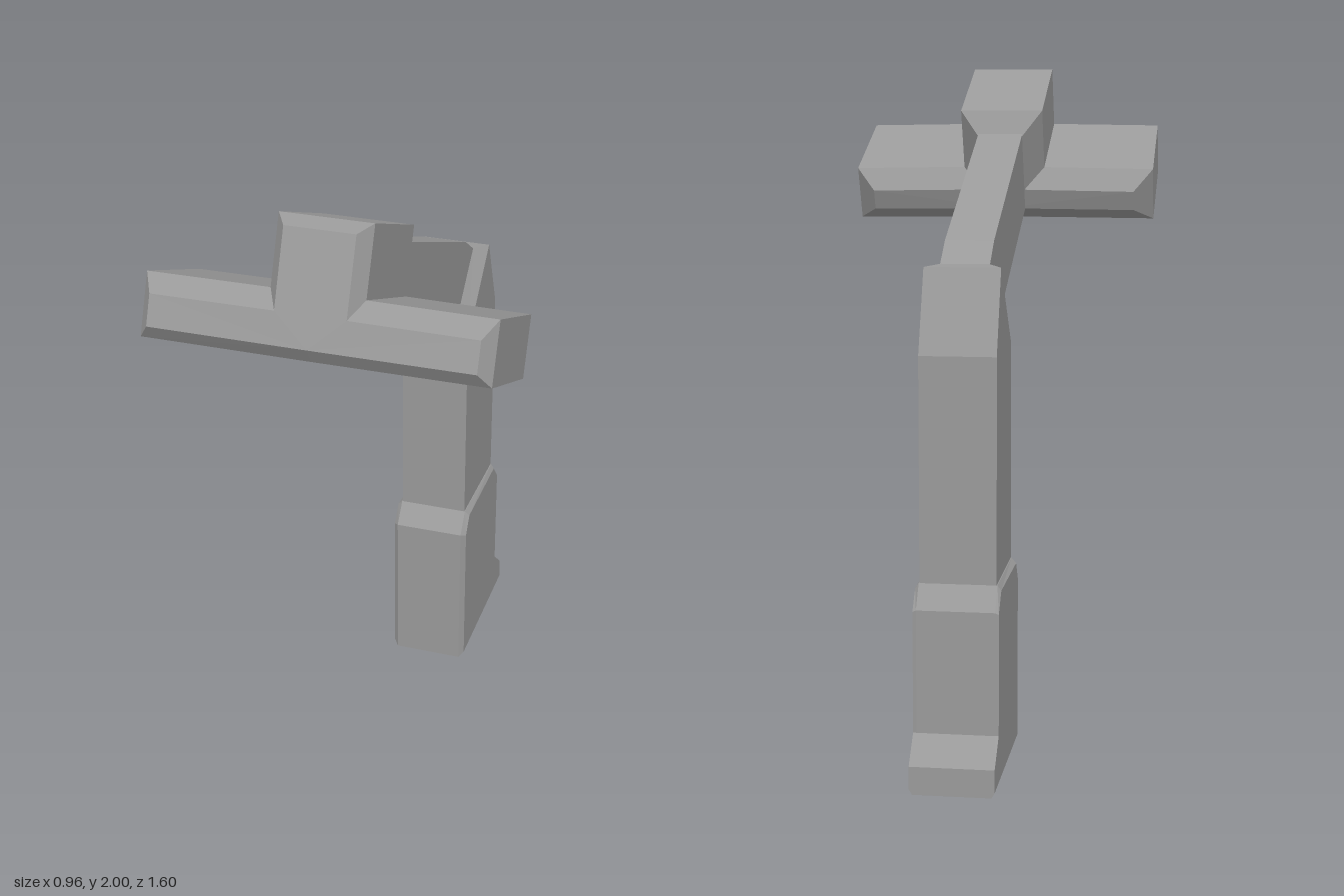
import * as THREE from 'three';

const material = new THREE.MeshStandardMaterial({ color: 0x999999, flatShading: true });

// Skins a stack of matching counter-clockwise rings of [a, b, c] points and caps both ends.
function loft(name, rings) {
  const pos = [];
  const tri = (...pts) => pts.forEach((p) => pos.push(...p));
  const n = rings[0].length;
  for (let k = 0; k < rings.length - 1; k++) {
    const lo = rings[k], hi = rings[k + 1];
    for (let i = 0; i < n; i++) {
      const j = (i + 1) % n;
      tri(lo[i], lo[j], hi[j]);
      tri(lo[i], hi[j], hi[i]);
    }
  }
  const first = rings[0], last = rings[rings.length - 1];
  const cap = (ring) => THREE.ShapeUtils.triangulateShape(ring.map(([a, b]) => new THREE.Vector2(a, b)), []);
  cap(first).forEach(([a, b, c]) => tri(first[c], first[b], first[a]));
  cap(last).forEach(([a, b, c]) => tri(last[a], last[b], last[c]));
  const geometry = new THREE.BufferGeometry();
  geometry.setAttribute('position', new THREE.Float32BufferAttribute(pos, 3));
  geometry.computeVertexNormals();
  const mesh = new THREE.Mesh(geometry, material);
  mesh.name = name;
  return mesh;
}

// Mirrored solid from side profiles of [z, y, halfWidth], listed from the middle outwards.
function sideSolid(name, ...profiles) {
  const left = profiles.slice().reverse().map((p) => p.map(([z, y, w]) => [z, y, -w]));
  const mesh = loft(name, [...left, ...profiles]);
  mesh.rotation.y = -Math.PI / 2;
  return mesh;
}

const withWidth = (w, pts) => pts.map(([z, y]) => [z, y, w]);

// T-shaped section at distance u along the arm, shrunk by an inset, with its own
// inset for the wing tops; the wings sweep back slightly.
function headRing(u, inset, wingInset) {
  const end = 0.48 - inset, stem = 0.13 - inset;
  const bottom = 1.232 + inset, top = 1.603 - inset;
  const half = [
    [end, bottom, u - 0.008],
    [end, 1.406 - wingInset, u - 0.008],
    [stem, 1.408 - wingInset, u],
    [stem, top, u],
  ];
  const mirrored = half.map(([x, v, c]) => [-x, v, c]).reverse();
  return [[0, bottom, u], ...half, ...mirrored];
}

export function createModel() {
  const group = new THREE.Group();
  group.name = 'bentArmStand';

  // Foot block with bevelled, slightly tapering sides and a small heel at the back
  const baseSide = [[-0.8, 0.015], [-0.305, 0.015], [-0.305, 0.495], [-0.345, 0.55],
    [-0.667, 0.55], [-0.718, 0.495], [-0.718, 0.15], [-0.8, 0.08]];
  group.add(sideSolid('base',
    withWidth(0.11, [[-0.8, 0], [-0.29, 0], [-0.29, 0.5], [-0.34, 0.565],
      [-0.67, 0.565], [-0.72, 0.5], [-0.72, 0.15], [-0.8, 0.08]]),
    baseSide.map(([z, y]) => [z, y, 0.125 + 0.012 * (z + 0.305)])));

  // Upright with a mitred top
  group.add(sideSolid('column', withWidth(0.108,
    [[-0.67, 0.55], [-0.34, 0.55], [-0.34, 1.2], [-0.575, 1.435], [-0.67, 1.2]])));

  // Tapered collar between upright and arm
  group.add(sideSolid('collar',
    [[-0.34, 1.2, 0.108], [-0.335, 1.26, 0.07], [-0.52, 1.44, 0.07], [-0.575, 1.435, 0.108]]));

  // Sloping arm
  group.add(sideSolid('arm', withWidth(0.07,
    [[-0.335, 1.26], [0.36, 1.55], [0.27, 1.79], [-0.43, 1.5], [-0.52, 1.44]])));

  // Bevelled T-shaped head, tilted in line with the arm
  const head = loft('head', [
    headRing(0.932, 0.06, 0.05), headRing(0.997, 0, 0),
    headRing(1.352, 0, 0), headRing(1.396, 0.032, 0.055),
  ]);
  head.rotation.x = -Math.atan2(0.385, 0.923);
  group.add(head);

  return group;
}
